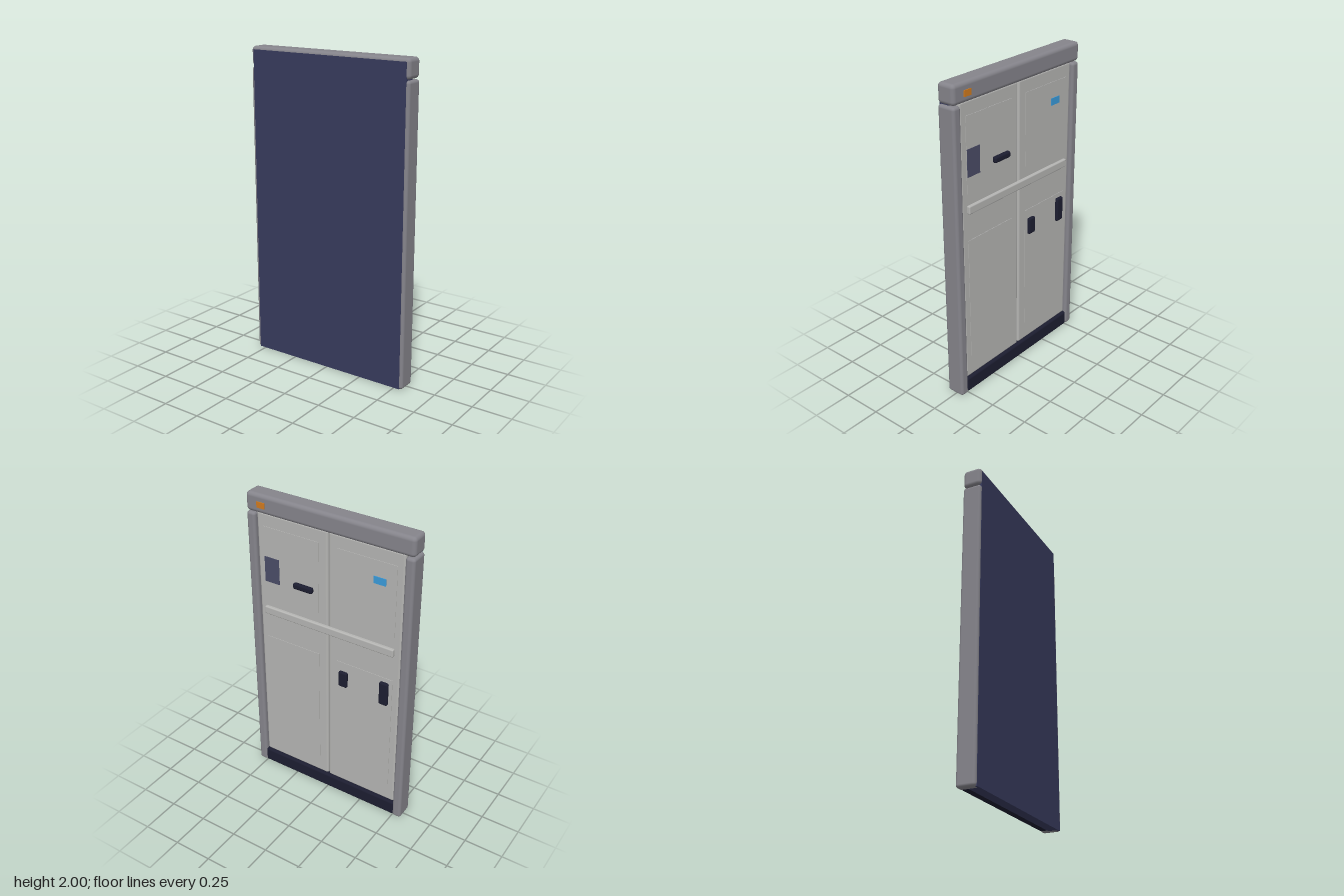
import * as THREE from 'three';
import { RoundedBoxGeometry } from 'three/addons/geometries/RoundedBoxGeometry.js';

const mat = (color) => new THREE.MeshStandardMaterial({ color });

export function createModel() {
  const group = new THREE.Group();
  const frame = mat(0x85848b), door = mat(0xb4b4b2), navy = mat(0x373a5c);
  const dark = mat(0x1c1d30), slate = mat(0x4a4c66), orange = mat(0xd07a1e), blue = mat(0x3a9ad9);

  // Box given by its extents on each axis; r > 0 rounds the edges
  function box(name, material, [x0, x1], [y0, y1], [z0, z1], r = 0) {
    const size = [x1 - x0, y1 - y0, z1 - z0];
    const geometry = r > 0 ? new RoundedBoxGeometry(...size, 3, r) : new THREE.BoxGeometry(...size);
    const mesh = new THREE.Mesh(geometry, material);
    mesh.name = name;
    mesh.position.set((x0 + x1) / 2, (y0 + y1) / 2, (z0 + z1) / 2);
    group.add(mesh);
  }

  // Frame: large flat panel, top beam and kick plate
  box('flatPanel', navy, [-0.54, 0.54], [0.002, 1.98], [0, 0.0655]);
  box('topBeam', frame, [-0.56, 0.56], [1.88, 2], [-0.055, 0.0645], 0.024);
  box('kickPlate', dark, [-0.505, 0.505], [0.002, 0.1], [-0.052, 0.01], 0.014);

  // Posts, doors and their raised panels, mirrored left and right
  for (const s of [1, -1]) {
    const side = s > 0 ? 'left' : 'right';
    const span = (a, b) => (s > 0 ? [a, b] : [-b, -a]);
    box(side + 'Post', frame, span(0.5, 0.56), [0, 1.875], [-0.055, 0.0645], 0.018);
    box(side + 'Door', door, span(0.003, 0.497), [0.1, 1.885], [-0.037, 0.005], 0.014);
    box(side + 'UpperDoorPanel', door, span(0.065, 0.452), [1.335, 1.8], [-0.04, -0.03]);
    box(side + 'LowerDoorPanel', door, span(0.065, 0.452), [0.225, 1.04], [-0.04, -0.03]);
  }

  // Rail across both doors
  box('crossRail', door, [-0.455, 0.455], [1.213, 1.265], [-0.057, -0.03], 0.008);

  // Door fittings
  box('noticePlate', slate, [0.345, 0.449], [1.437, 1.605], [-0.043, -0.035]);
  box('doorHandle', dark, [0.1, 0.235], [1.457, 1.496], [-0.0655, -0.035], 0.012);
  box('shortGrip', dark, [-0.145, -0.085], [0.872, 0.98], [-0.06, -0.034], 0.011);
  box('longGrip', dark, [-0.43, -0.37], [0.852, 1.012], [-0.06, -0.034], 0.011);
  box('blueIndicator', blue, [-0.385, -0.305], [1.655, 1.7], [-0.044, -0.035]);
  box('warningLight', orange, [0.422, 0.478], [1.918, 1.955], [-0.06, -0.05]);

  return group;
}
